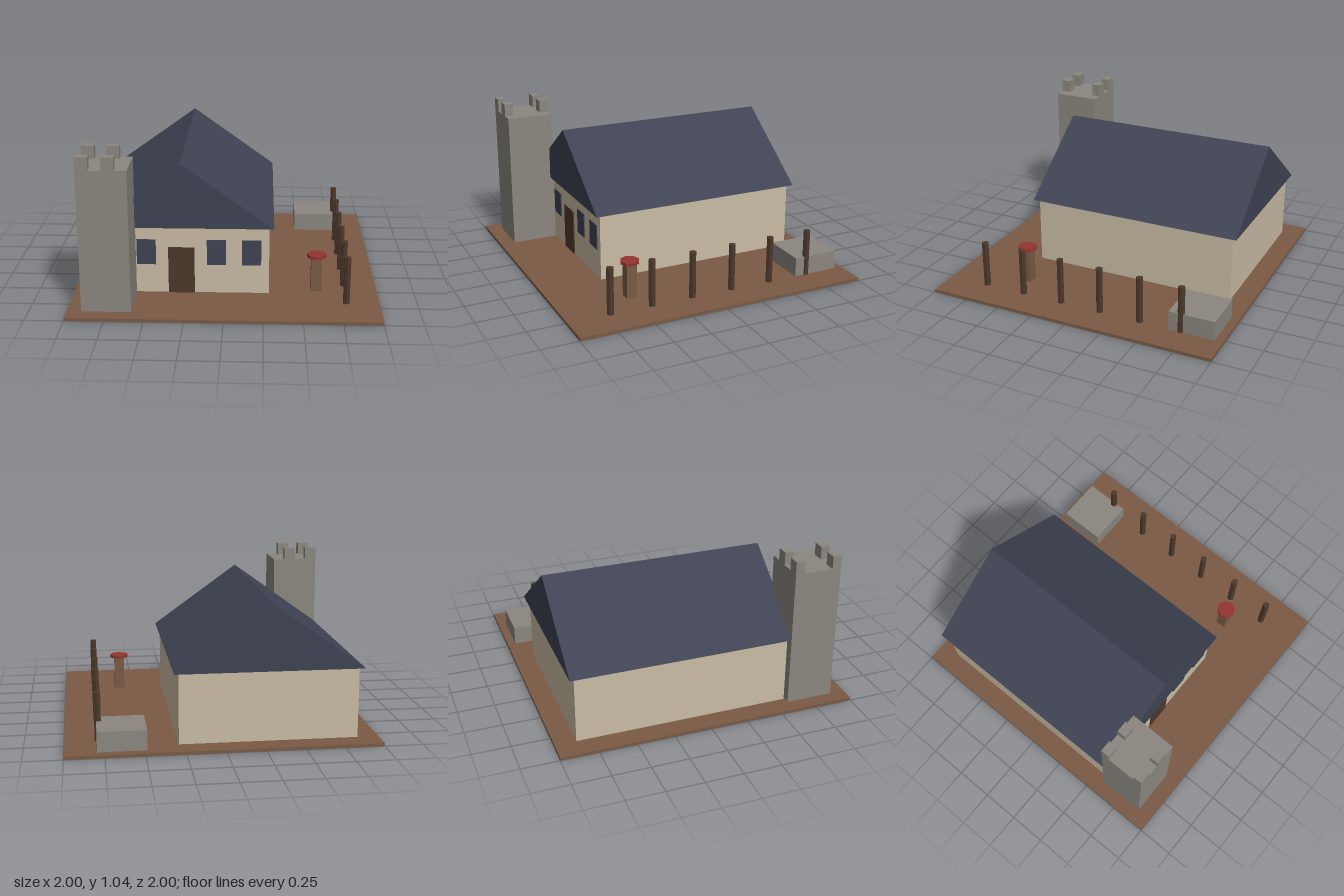
import * as THREE from 'three';

const mat = (name, color) => {
  const m = new THREE.MeshStandardMaterial({ color });
  m.name = name;
  return m;
};

export function createModel() {
  const earth = mat('earth brown', 0x7a5a44);
  const plaster = mat('cream plaster', 0xc8bca4);
  const slate = mat('blue slate', 0x3f4353);
  const stone = mat('grey stone', 0x8b877f);
  const timber = mat('dark timber', 0x4c382b);
  const red = mat('red', 0x96332f);

  const model = new THREE.Group();
  model.name = 'homestead';

  const add = (name, geometry, material, parent = model) => {
    const mesh = new THREE.Mesh(geometry, material);
    mesh.name = name;
    parent.add(mesh);
    return mesh;
  };
  // Box given by its extents on each axis
  const box = (name, material, [x0, x1], [y0, y1], [z0, z1], parent) => {
    const mesh = add(name, new THREE.BoxGeometry(x1 - x0, y1 - y0, z1 - z0), material, parent);
    mesh.position.set((x0 + x1) / 2, (y0 + y1) / 2, (z0 + z1) / 2);
    return mesh;
  };
  const group = (name) => {
    const g = new THREE.Group();
    g.name = name;
    model.add(g);
    return g;
  };

  box('ground', earth, [-1, 1], [0, 0.02], [-1, 1]);

  // House: walls, door and a row of windows placed evenly about the door
  const house = group('house');
  const midX = -0.29;
  box('walls', plaster, [-0.862, 0.285], [0.02, 0.48], [-0.86, 0.574], house);
  box('door', timber, [midX - 0.086, midX + 0.086], [0.02, 0.337], [0.574, 0.583], house);
  for (const dx of [-0.46, -0.23, 0.23, 0.46]) {
    const x = midX + dx;
    box('window', slate, [x - 0.063, x + 0.063], [0.217, 0.39], [0.574, 0.58], house);
  }

  // Solid gable roof overhanging the walls
  const gable = new THREE.Shape();
  gable.moveTo(-0.605, 0.48);
  gable.lineTo(0.605, 0.48);
  gable.lineTo(0, 0.915);
  gable.closePath();
  const roof = add('roof', new THREE.ExtrudeGeometry(gable, { depth: 1.5, bevelEnabled: false }), slate, house);
  roof.position.set(midX, 0, -0.893);

  // Tower with four merlons
  const tower = group('tower');
  box('towerBody', stone, [-0.905, -0.588], [0.02, 0.953], [0.582, 0.899], tower);
  for (const x of [-0.905, -0.746]) {
    for (const z of [0.582, 0.839]) {
      box('merlon', stone, [x, x + 0.08], [0.953, 1.038], [z, z + 0.06], tower);
    }
  }

  box('stoneBlock', stone, [0.487, 0.796], [0.02, 0.15], [-0.945, -0.631]);

  // Row of fence posts
  const fence = group('fence');
  for (let i = 0; i < 6; i++) {
    const post = add('fencePost', new THREE.CylinderGeometry(0.024, 0.024, 0.317, 6).toNonIndexed(), timber, fence);
    post.geometry.computeVertexNormals();
    post.position.set(0.785, 0.1785, 0.714 - i * 0.2856);
  }

  // Pedestal with a round red top
  const pedestal = group('pedestal');
  box('pedestalPole', earth, [0.563, 0.633], [0.02, 0.256], [0.465, 0.535], pedestal);
  const cap = add('pedestalTop', new THREE.CylinderGeometry(0.064, 0.064, 0.02, 8).toNonIndexed(), red, pedestal);
  cap.geometry.computeVertexNormals();
  cap.position.set(0.598, 0.264, 0.5);

  return model;
}
